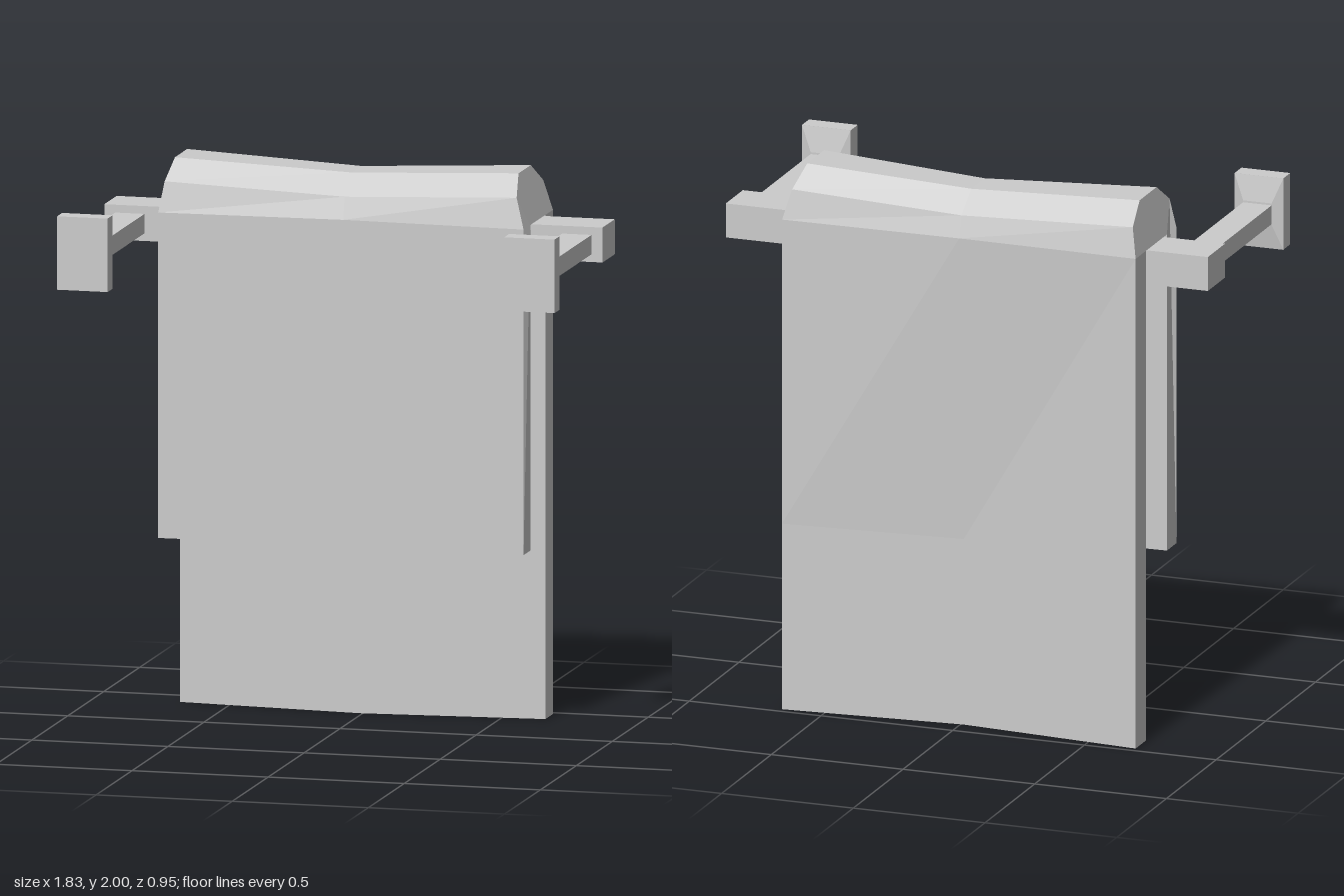
import * as THREE from 'three';

const material = new THREE.MeshStandardMaterial({ color: 0xcccccc, flatShading: true });

function mesh(name, geometry) {
  const m = new THREE.Mesh(geometry, material);
  m.name = name;
  return m;
}

// Box given by its extents on each axis
function box(name, [x0, x1], [y0, y1], [z0, z1]) {
  const g = new THREE.BoxGeometry(x1 - x0, y1 - y0, z1 - z0);
  g.translate((x0 + x1) / 2, (y0 + y1) / 2, (z0 + z1) / 2);
  return mesh(name, g);
}

// Towel: an upside-down U lofted through left edge, sagging middle and right edge
function towelGeometry() {
  // [z, y, z shift in the middle, y shift in the middle]
  const profile = [
    [-0.065, 0.645, -0.025, 0], [-0.065, 1.82, -0.025, 0],
    [-0.085, 1.93, -0.025, -0.03], [-0.185, 2.0, -0.025, -0.03],
    [-0.355, 2.0, 0.01, -0.03], [-0.455, 1.93, 0.01, -0.03],
    [-0.475, 1.82, 0.01, 0], [-0.475, 0.69, 0.055, 0], [-0.475, 0, 0.055, 0],
    [-0.37, 0, 0.055, 0], [-0.37, 0.69, 0.055, 0], [-0.37, 1.82, 0.01, 0],
    [-0.16, 1.82, -0.025, 0], [-0.16, 0.645, -0.025, 0],
  ];
  const n = profile.length;
  // x of each section, how far it leans in above the bar, and its share of the sag
  const sections = [[-0.685, 0.03, 0], [-0.012, 0, 1], [0.657, -0.05, 0]];
  const positions = [];
  const index = [];
  for (const [x, lean, sag] of sections) {
    for (const [z, y, dz, dy] of profile) {
      const t = Math.max(0, (y - 1.82) / 0.18);
      positions.push(x + lean * t, y + dy * sag, z + dz * sag);
    }
  }
  for (let s = 0; s < 2; s++) {
    for (let i = 0; i < n; i++) {
      const j = (i + 1) % n;
      const a = s * n + i, b = a + n, c = (s + 1) * n + j, d = s * n + j;
      index.push(a, b, c, a, c, d);
    }
  }
  // Side edges
  const outline = profile.map(([z, y]) => new THREE.Vector2(z, y));
  for (const [a, b, c] of THREE.ShapeUtils.triangulateShape(outline, [])) {
    index.push(a, b, c, 2 * n + a, 2 * n + c, 2 * n + b);
  }
  const g = new THREE.BufferGeometry();
  g.setAttribute('position', new THREE.Float32BufferAttribute(positions, 3));
  g.setIndex(index);
  const flat = g.toNonIndexed();
  flat.computeVertexNormals();
  return flat;
}

// Wall plate with a shallow bevel narrowing to the arm
function plateBevel() {
  const g = new THREE.BoxGeometry(0.185, 0.265, 0.015);
  const p = g.attributes.position;
  for (let i = 0; i < p.count; i++) {
    if (p.getZ(i) < 0) p.setXY(i, Math.sign(p.getX(i)) * 0.054, Math.sign(p.getY(i)) * 0.04);
  }
  g.computeVertexNormals();
  const m = mesh('plateBevel', g);
  m.position.set(0, 1.757, 0.3975);
  return m;
}

function bracket(name, x) {
  const g = new THREE.Group();
  g.name = name;
  g.add(
    box('arm', [-0.054, 0.054], [1.72, 1.79], [-0.185, 0.395]),
    box('wallPlate', [-0.0925, 0.0925], [1.625, 1.89], [0.405, 0.475]),
    plateBevel(),
  );
  g.position.x = x;
  return g;
}

export function createModel() {
  const model = new THREE.Group();
  model.name = 'towelRail';
  model.add(
    mesh('towel', towelGeometry()),
    box('rail', [-0.915, 0.915], [1.692, 1.818], [-0.358, -0.186]),
    bracket('leftBracket', 0.821),
    bracket('rightBracket', -0.821),
  );
  return model;
}
